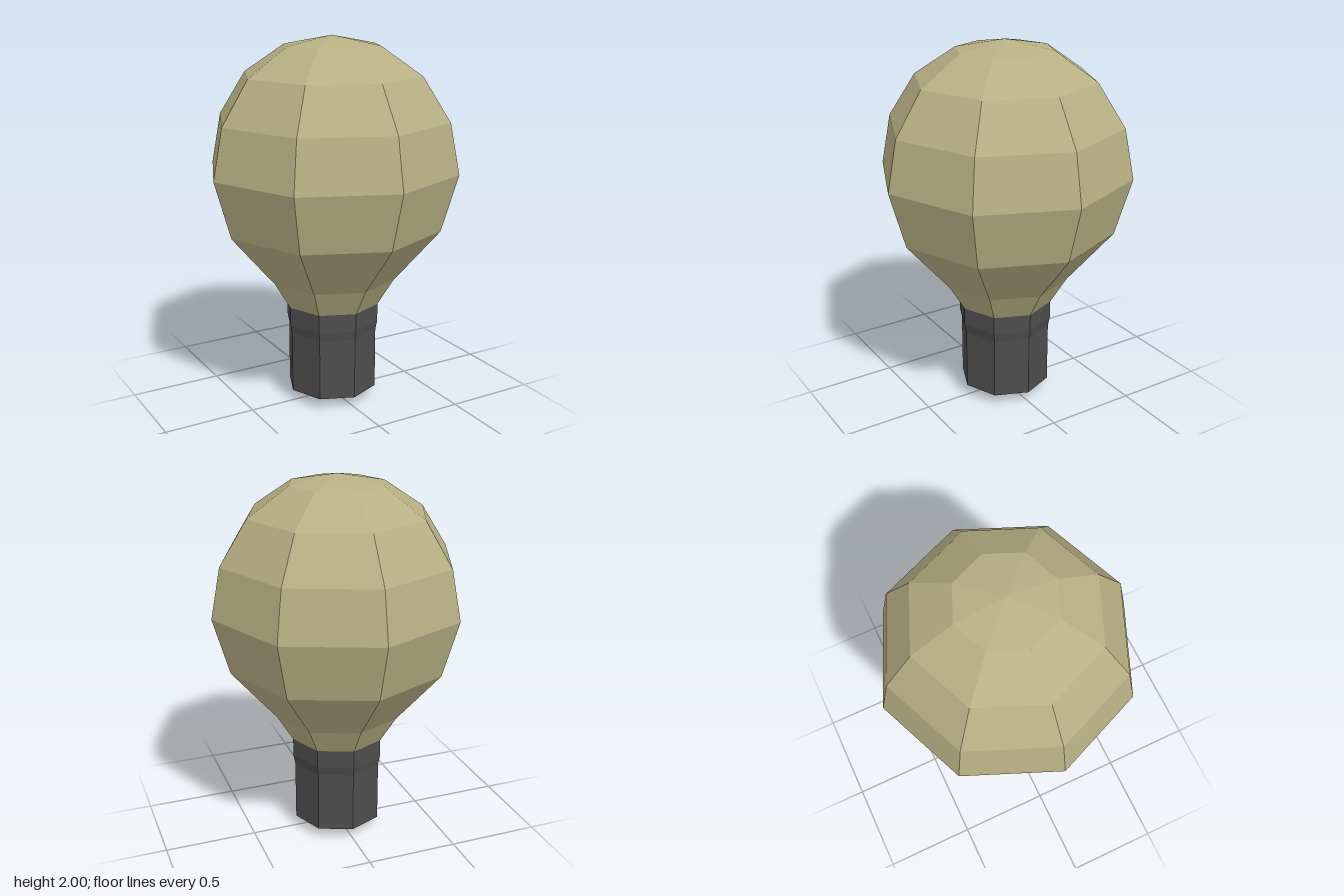
import * as THREE from 'three';

const SIDES = 8;

// Faceted eight-sided turned part; profile is [radius, height] from bottom to top
function turned(name, profile, color) {
  const points = profile.map(([r, y]) => new THREE.Vector2(r, y));
  const material = new THREE.MeshStandardMaterial({ color, flatShading: true, side: THREE.DoubleSide });
  const mesh = new THREE.Mesh(new THREE.LatheGeometry(points, SIDES), material);
  mesh.name = name;
  return mesh;
}

export function createModel() {
  const model = new THREE.Group();
  model.name = 'lightBulb';

  // Dark screw base with a shallow pointed underside and a slightly flared collar
  model.add(turned('base', [
    [0, 0], [0.25, 0.06], [0.25, 0.4], [0.26, 0.45], [0.26, 0.55],
  ], 0x4d4d4d));

  // Glass: narrow neck swelling into a round globe
  model.add(turned('glass', [
    [0.26, 0.55], [0.35, 0.7], [0.435, 0.8], [0.595, 0.99], [0.683, 1.3],
    [0.63, 1.57], [0.483, 1.8], [0.26, 1.95], [0, 2],
  ], 0xb8b084));

  return model;
}
